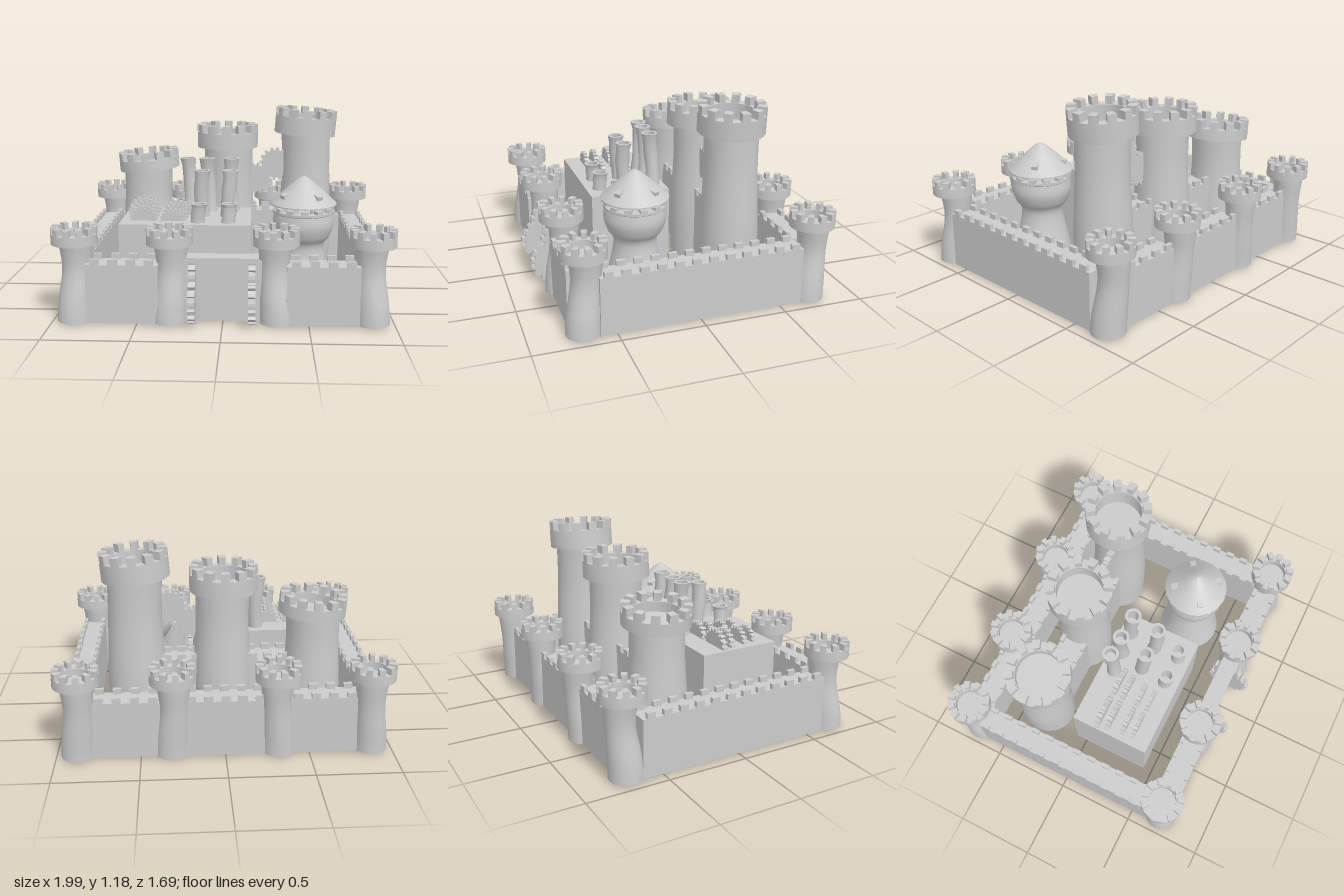
import * as THREE from 'three';
import { toCreasedNormals } from 'three/addons/utils/BufferGeometryUtils.js';

const mat = new THREE.MeshStandardMaterial({ color: 0xcccccc, side: THREE.DoubleSide });

function add(parent, name, geometry, x = 0, y = 0, z = 0) {
  const mesh = new THREE.Mesh(geometry, mat);
  mesh.name = name;
  mesh.position.set(x, y, z);
  parent.add(mesh);
  return mesh;
}

function group(parent, name, x = 0, y = 0, z = 0) {
  const g = new THREE.Group();
  g.name = name;
  g.position.set(x, y, z);
  parent.add(g);
  return g;
}

// Box given by its min and max corners
function block(parent, name, x0, x1, y0, y1, z0, z1) {
  return add(parent, name, new THREE.BoxGeometry(x1 - x0, y1 - y0, z1 - z0),
    (x0 + x1) / 2, (y0 + y1) / 2, (z0 + z1) / 2);
}

// Turned shape from [radius, height] pairs, with an optional sideways bend
function turned(points, segments, bend = () => [0, 0]) {
  const geo = new THREE.LatheGeometry(points.map(([r, y]) => new THREE.Vector2(r, y)), segments);
  const p = geo.attributes.position;
  for (let i = 0; i < p.count; i++) {
    const [dx, dz] = bend(p.getY(i));
    p.setX(i, p.getX(i) + dx);
    p.setZ(i, p.getZ(i) + dz);
  }
  return toCreasedNormals(geo, 0.6);
}

// Smooth profile through a few [radius, height] pairs
function smooth(points, n = 14) {
  const curve = new THREE.SplineCurve(points.map(([r, y]) => new THREE.Vector2(r, y)));
  return curve.getPoints(n).map((v) => [v.x, v.y]);
}

// Hollow battlement ring with curved merlons, its underside at y = 0
function crown(parent, { outer, inner, neck, wall, merlon, count }) {
  add(parent, 'crownRing', turned(
    [[neck, 0], [outer, 0], [outer, wall], [inner, wall], [inner, 0.01], [0, 0.01]], 24));
  const half = (Math.PI / count) * 0.5;
  const shape = new THREE.Shape();
  shape.absarc(0, 0, outer, -half, half, false);
  shape.absarc(0, 0, inner + 0.004, half, -half, true);
  const geo = new THREE.ExtrudeGeometry(shape, { depth: merlon, bevelEnabled: false, curveSegments: 2 });
  geo.rotateX(-Math.PI / 2);
  for (let i = 0; i < count; i++) {
    add(parent, 'merlon', geo, 0, wall, 0).rotation.y = (i / count) * Math.PI * 2;
  }
}

// Toothed wheel centred on the origin, axis along z
function gearGeometry(radius, teeth, thickness) {
  const shape = new THREE.Shape();
  const step = (Math.PI * 2) / teeth;
  for (let i = 0; i < teeth; i++) {
    [[0, 0.84], [0.42, 0.84], [0.52, 1], [0.9, 1]].forEach(([t, k], j) => {
      const a = (i + t) * step, r = radius * k;
      shape[i + j ? 'lineTo' : 'moveTo'](Math.cos(a) * r, Math.sin(a) * r);
    });
  }
  const geo = new THREE.ExtrudeGeometry(shape, { depth: thickness, bevelEnabled: false });
  return geo.translate(0, 0, -thickness / 2);
}

// Wall with a row of merlons along both long edges
function wall(parent, name, x0, x1, z0, z1, height = 0.36) {
  const g = group(parent, name);
  block(g, 'wallBody', x0, x1, 0.01, height, z0, z1);
  const alongX = x1 - x0 > z1 - z0;
  const [a, b] = alongX ? [x0, x1] : [z0, z1];
  const [c, d] = alongX ? [z0, z1] : [x0, x1];
  const n = Math.round((b - a) / 0.1);
  for (let i = 0; i < n; i++) {
    const s = a + ((i + 0.5) * (b - a)) / n;
    for (const [e, f] of [[c, c + 0.025], [d - 0.025, d]]) {
      if (alongX) block(g, 'wallMerlon', s - 0.026, s + 0.026, height, height + 0.033, e, f);
      else block(g, 'wallMerlon', e, f, height, height + 0.033, s - 0.026, s + 0.026);
    }
  }
}

export function createModel() {
  const castle = new THREE.Group();
  castle.name = 'castle';

  // Eight curtain-wall towers, each slightly waisted and bent
  const outerProfile = smooth([[0.102, 0.01], [0.098, 0.14], [0.086, 0.32], [0.1, 0.47]]);
  for (const z of [-0.715, 0.67]) {
    for (const x of [-0.862, -0.308, 0.308, 0.862]) {
      const g = group(castle, 'wallTower', x, 0, z);
      const lean = Math.sign(x) * 0.008;
      add(g, 'towerBody', turned(outerProfile, 24,
        (y) => [lean * Math.cos(y * 9), 0.014 * Math.cos(y * 8)]));
      crown(group(g, 'crown', 0, 0.47, 0),
        { outer: 0.135, inner: 0.085, neck: 0.09, wall: 0.06, merlon: 0.04, count: 11 });
    }
  }

  // Curtain walls
  for (const s of [-1, 1]) {
    const [x0, x1] = s < 0 ? [-0.94, -0.795] : [0.795, 0.94];
    wall(castle, 'sideWall', x0, x1, -0.63, 0.6);
    const [f0, f1] = s < 0 ? [-0.79, -0.37] : [0.37, 0.79];
    wall(castle, 'frontWall', f0, f1, 0.6, 0.755);
    wall(castle, 'backWall', f0, f1, -0.755, -0.605);
  }
  wall(castle, 'backMiddleWall', -0.25, 0.25, -0.76, -0.6);

  // Gate with a recessed door and a lintel
  const gate = group(castle, 'gate');
  block(gate, 'gateDoor', -0.14, 0.13, 0.01, 0.28, 0.65, 0.685);
  block(gate, 'gatePost', -0.23, -0.14, 0.01, 0.38, 0.635, 0.705);
  block(gate, 'gatePost', 0.13, 0.23, 0.01, 0.38, 0.635, 0.705);
  block(gate, 'gateHead', -0.14, 0.13, 0.28, 0.38, 0.635, 0.705);
  block(gate, 'gateLintel', -0.21, 0.21, 0.37, 0.4, 0.617, 0.727);

  // Lifting gears on both sides of the gate
  for (const x of [-0.175, 0.17]) {
    for (const [r, y, z, teeth] of [[0.14, 0.145, 0.705, 16], [0.1, 0.285, 0.675, 12]]) {
      add(castle, 'gateGear', gearGeometry(r, teeth, 0.042), x, y, z).rotation.y = Math.PI / 2;
    }
  }

  // Three keep towers with tilted crowns
  const keeps = [
    { x: -0.55, z: -0.34, top: 0.745, wall: 0.075, tilt: 0.09, lean: -0.012 },
    { x: -0.01, z: -0.33, top: 0.9, wall: 0.105, tilt: 0, lean: 0.008 },
    { x: 0.515, z: -0.33, top: 0.99, wall: 0.12, tilt: -0.08, lean: 0.012 },
  ];
  for (const k of keeps) {
    const g = group(castle, 'keepTower', k.x, 0, k.z);
    const profile = smooth([[0.175, 0.01], [0.18, k.top * 0.35], [0.163, k.top * 0.75], [0.165, k.top + 0.015]]);
    add(g, 'keepBody', turned(profile, 28, (y) => [k.lean * Math.sin((y / k.top) * 2.4), 0]));
    const c = group(g, 'crown', 0, k.top, 0);
    c.rotation.z = k.tilt;
    crown(c, { outer: 0.206, inner: 0.147, neck: 0.15, wall: k.wall, merlon: 0.05, count: 12 });
  }
  wall(castle, 'keepWall', -0.42, -0.14, -0.405, -0.23, 0.47);
  wall(castle, 'keepWall', 0.12, 0.38, -0.395, -0.25, 0.47);

  // Gears standing between the middle and tall keep towers
  add(castle, 'keepGear', gearGeometry(0.105, 16, 0.04), 0.19, 0.685, -0.3);
  add(castle, 'keepGear', gearGeometry(0.112, 16, 0.04), 0.32, 0.785, -0.3);

  // Workshop hall with half-sunk roof gears
  block(castle, 'hall', -0.645, 0.16, 0.01, 0.525, -0.07, 0.44);
  for (const [z, r, t] of [[0.09, 0.11, 0.032], [0.155, 0.102, 0.032], [0.255, 0.094, 0.028], [0.325, 0.088, 0.024]]) {
    add(castle, 'roofGear', gearGeometry(r, 18, t), -0.415 - r, 0.525, z);
    add(castle, 'roofGear', gearGeometry(r * 0.95, 18, t), -0.41 + r * 0.95, 0.515, z);
  }

  // Crooked open chimneys in three rows
  const chimneys = [
    [-0.245, 0.01, 0.87], [-0.12, 0.01, 0.87], [0.03, 0.01, 0.87],
    [-0.15, 0.185, 0.82], [0.018, 0.19, 0.82], [-0.16, 0.345, 0.64], [0.02, 0.345, 0.64],
  ];
  chimneys.forEach(([x, z, top], i) => {
    const h = top - 0.51;
    const points = [[0.048, 0], [0.041, h * 0.3], [0.046, h * 0.6], [0.043, h * 0.85], [0.052, h],
      [0.034, h], [0.034, h - 0.1], [0, h - 0.1]];
    add(castle, 'chimney', turned(points, 18,
      (y) => [0.01 * Math.sin(y * 12 + i), 0.01 * Math.cos(y * 12 + i)]), x, 0.51, z);
  });

  // Bulbous turret on a flared foot with a cone roof on posts
  const turret = group(castle, 'turret', 0.483, 0, 0.26);
  add(turret, 'turretBody', turned([
    ...smooth([[0.205, 0], [0.165, 0.17], [0.13, 0.36], [0.165, 0.43], [0.188, 0.5], [0.182, 0.57]], 20),
    [0.19, 0.575], [0.19, 0.59], [0.14, 0.59], [0.14, 0.565], [0, 0.565]], 28));
  for (let i = 0; i < 12; i++) {
    const pivot = group(turret, 'turretMerlon');
    pivot.rotation.y = (i / 12) * Math.PI * 2;
    block(pivot, 'merlon', 0.15, 0.186, 0.585, 0.61, -0.022, 0.022);
  }
  for (let i = 0; i < 6; i++) {
    const a = (i / 6) * Math.PI * 2;
    add(turret, 'roofPost', new THREE.CylinderGeometry(0.016, 0.02, 0.1, 8),
      Math.cos(a) * 0.11, 0.615, Math.sin(a) * 0.11);
  }
  add(turret, 'coneRoof', turned(
    [[0, 0.64], [0.205, 0.625], [0.205, 0.633], [0.15, 0.683], [0.08, 0.747], [0.035, 0.785], [0, 0.803]], 18));
  for (let i = 0; i < 4; i++) {
    const pivot = group(turret, 'dormer');
    pivot.rotation.y = 0.6 + (i * Math.PI) / 2;
    const roof = block(pivot, 'dormerHood', 0.115, 0.165, 0.675, 0.7, -0.02, 0.02);
    roof.rotation.z = -0.25;
  }
  return castle;
}
